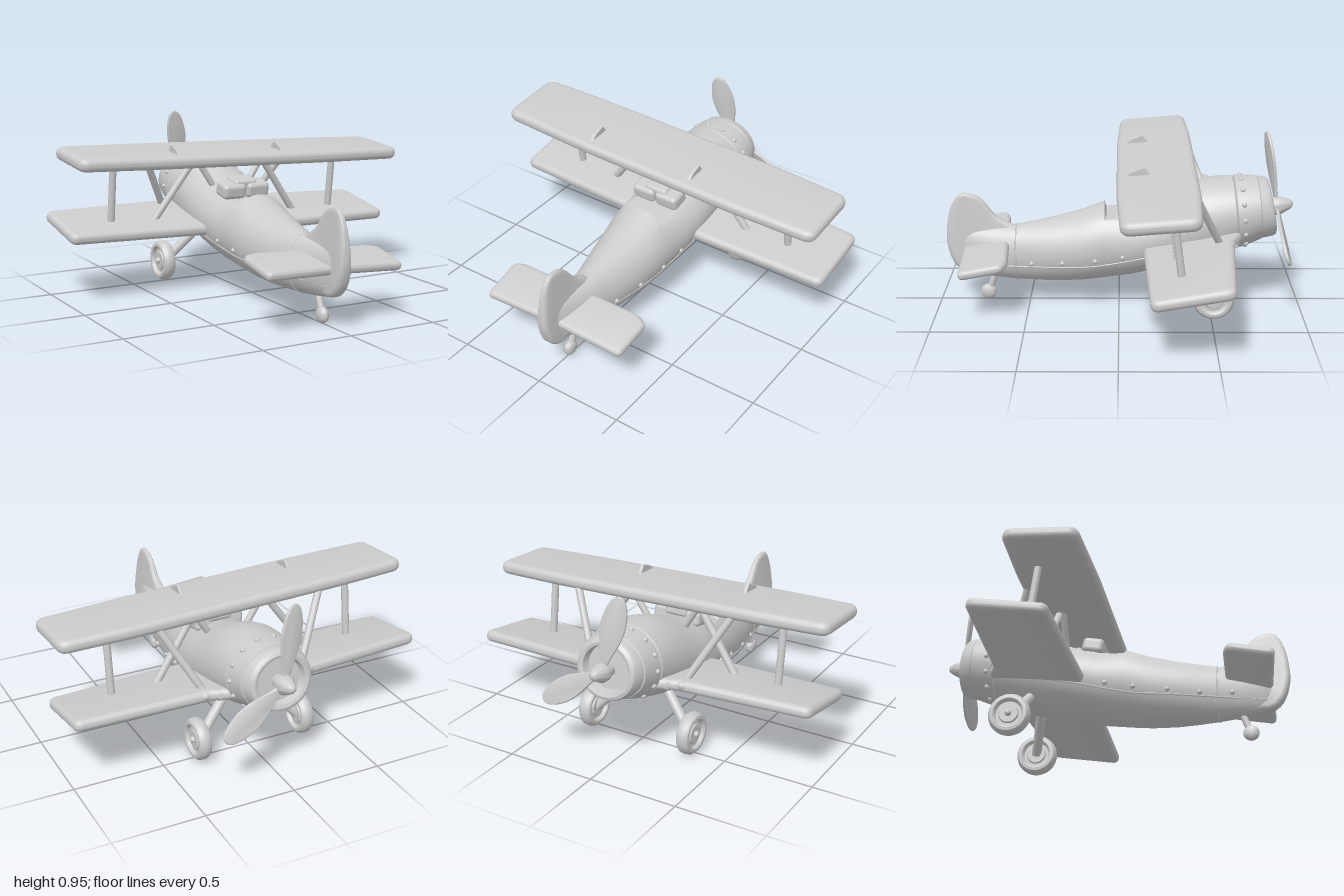
import * as THREE from 'three';
import { toCreasedNormals } from 'three/addons/utils/BufferGeometryUtils.js';
import { RoundedBoxGeometry } from 'three/addons/geometries/RoundedBoxGeometry.js';

const material = new THREE.MeshStandardMaterial({ color: 0xcccccc, roughness: 0.7 });
const V = (x, y, z) => new THREE.Vector3(x, y, z);
const lerp = THREE.MathUtils.lerp;

function add(parent, name, geometry, x = 0, y = 0, z = 0) {
  const mesh = new THREE.Mesh(geometry, material);
  mesh.name = name;
  mesh.position.set(x, y, z);
  parent.add(mesh);
  return mesh;
}

// Fuselage sections, tail to nose: [zTop, yTop, zBottom, yBottom, halfWidth, flat cut height]
const SECTIONS = [
  [0.93, 0.38, 0.9, 0.22, 0.01], [0.89, 0.4, 0.86, 0.175, 0.03], [0.8, 0.42, 0.8, 0.153, 0.055],
  [0.7, 0.43, 0.7, 0.138, 0.08], [0.57, 0.44, 0.57, 0.125, 0.105], [0.45, 0.463, 0.45, 0.12, 0.135],
  [0.34, 0.487, 0.34, 0.118, 0.16], [0.2, 0.525, 0.2, 0.125, 0.183], [0.08, 0.57, 0.08, 0.14, 0.2],
  [0.07, 0.57, 0.07, 0.142, 0.2, 0.51], [-0.07, 0.57, -0.07, 0.163, 0.212, 0.53],
  [-0.08, 0.575, -0.08, 0.165, 0.213], [-0.17, 0.59, -0.17, 0.185, 0.22], [-0.28, 0.632, -0.28, 0.21, 0.224],
  [-0.38, 0.677, -0.38, 0.233, 0.225], [-0.47, 0.707, -0.48, 0.258, 0.223], [-0.55, 0.715, -0.58, 0.29, 0.218],
  [-0.62, 0.715, -0.655, 0.317, 0.211], [-0.625, 0.707, -0.66, 0.327, 0.202], [-0.631, 0.718, -0.666, 0.319, 0.212],
  [-0.7, 0.719, -0.73, 0.345, 0.205], [-0.755, 0.717, -0.785, 0.369, 0.195], [-0.759, 0.709, -0.789, 0.377, 0.187],
  [-0.764, 0.714, -0.794, 0.374, 0.19], [-0.8, 0.712, -0.85, 0.386, 0.178], [-0.812, 0.705, -0.866, 0.395, 0.17],
  [-0.822, 0.69, -0.87, 0.412, 0.153], [-0.82, 0.675, -0.862, 0.428, 0.135], [-0.78, 0.665, -0.82, 0.435, 0.125],
];

function sectionPoint([zt, yt, zb, yb, w, cut = 9], a) {
  const t = (1 - Math.cos(a)) / 2;
  return V(w * Math.sin(a), Math.min(lerp(yt, yb, t), cut), lerp(zt, zb, t));
}

// Point on the hull side at a given z and height
function hullPoint(z, y, side) {
  const zAt = (s) => lerp(s[2], s[0], THREE.MathUtils.clamp((y - s[3]) / (s[1] - s[3]), 0, 1));
  let i = 0;
  while (i < SECTIONS.length - 2 && zAt(SECTIONS[i + 1]) > z) i++;
  const [p, q] = [SECTIONS[i], SECTIONS[i + 1]];
  const t = THREE.MathUtils.clamp((z - zAt(p)) / (zAt(q) - zAt(p)), 0, 1);
  const [yt, yb, w] = [1, 3, 4].map((k) => lerp(p[k], q[k], t));
  const c = (2 * y - yt - yb) / (yt - yb);
  return V(side * w * Math.sqrt(Math.max(0, 1 - c * c)), y, z);
}

function hullGeometry(n = 56) {
  const pos = [], index = [];
  for (const s of SECTIONS) {
    for (let j = 0; j < n; j++) pos.push(...sectionPoint(s, (j / n) * Math.PI * 2).toArray());
  }
  for (let i = 0; i < SECTIONS.length - 1; i++) {
    for (let j = 0; j < n; j++) {
      const k = (j + 1) % n, a = i * n + j, c = i * n + k;
      index.push(a, c, a + n, a + n, c, c + n);
    }
  }
  // end caps
  for (const [row, z, y] of [[0, 0.915, 0.3], [SECTIONS.length - 1, -0.8, 0.55]]) {
    const m = pos.length / 3;
    pos.push(0, y, z);
    for (let j = 0; j < n; j++) {
      const a = row * n + j, c = row * n + ((j + 1) % n);
      index.push(...(row ? [a, c, m] : [c, a, m]));
    }
  }
  const g = new THREE.BufferGeometry();
  g.setAttribute('position', new THREE.Float32BufferAttribute(pos, 3));
  g.setIndex(index);
  return toCreasedNormals(g, 0.6);
}

function bevelled(shape, thickness, bevel) {
  const g = new THREE.ExtrudeGeometry(shape, {
    depth: thickness - 2 * bevel, bevelThickness: bevel, bevelSize: bevel,
    bevelOffset: -bevel, bevelSegments: 4, curveSegments: 8,
  });
  return g.translate(0, 0, bevel - thickness / 2);
}

// Flat panel with rounded corners from plan points [x, z]
function panel(points, thickness, radius) {
  const pts = points.map(([x, z]) => new THREE.Vector2(x, z));
  const shape = new THREE.Shape();
  pts.forEach((p, i) => {
    const toward = (q) => p.clone().add(q.clone().sub(p).setLength(radius));
    const a = toward(pts[(i + pts.length - 1) % pts.length]);
    const b = toward(pts[(i + 1) % pts.length]);
    if (i) shape.lineTo(a.x, a.y); else shape.moveTo(a.x, a.y);
    shape.quadraticCurveTo(p.x, p.y, b.x, b.y);
  });
  return toCreasedNormals(bevelled(shape, thickness, thickness * 0.45).rotateX(Math.PI / 2), 0.7);
}

function rod(parent, name, a, b, r) {
  const mesh = add(parent, name, new THREE.CylinderGeometry(r, r, a.distanceTo(b), 14));
  mesh.position.copy(a).lerp(b, 0.5);
  mesh.quaternion.setFromUnitVectors(V(0, 1, 0), b.clone().sub(a).normalize());
  return mesh;
}

const lathe = (pts, n = 36) =>
  toCreasedNormals(new THREE.LatheGeometry(pts.map(([r, y]) => new THREE.Vector2(r, y)), n), 0.7);

export function createModel() {
  const model = new THREE.Group();
  model.name = 'biplane';
  add(model, 'fuselage', hullGeometry());

  // Wings: slightly pitched up and rolled
  const upper = add(model, 'upperWing', panel(
    [[-1, -0.2], [-0.6, -0.218], [0.6, -0.218], [1, -0.2], [1, 0.195], [0.5, 0.213], [-0.5, 0.213], [-1, 0.195]],
    0.07, 0.06), 0, 0.765, -0.2);
  upper.rotation.set(0.08, 0, -0.032);
  const lower = add(model, 'lowerWing', panel(
    [[-1, -0.2], [-0.27, -0.25], [-0.2, -0.3], [0.2, -0.3], [0.27, -0.25], [1, -0.2], [1, 0.22], [0.2, 0.24], [-0.2, 0.24], [-1, 0.22]],
    0.062, 0.045), 0, 0.385, -0.37);
  lower.rotation.set(0.17, 0, -0.02);
  for (const x of [-0.42, 0.225]) {
    const wedge = new THREE.Shape([[-0.07, 0], [0.07, 0], [0.03, 0.03], [-0.035, 0.05]].map((p) => new THREE.Vector2(...p)));
    add(upper, 'wingFitting', bevelled(wedge, 0.022, 0.004).rotateY(-Math.PI / 2), x, 0.028, 0.1);
  }

  // Struts between the wings, and wing root bumps
  for (const s of [-1, 1]) {
    const roll = (x) => -0.025 * x * s;
    const strut = (name, a, b, r) => rod(model, name,
      V(a[0] * s, a[1] + roll(a[0]), a[2]), V(b[0] * s, b[1] + roll(b[0]), b[2]), r);
    strut('outerStrut', [0.706, 0.39, -0.32], [0.706, 0.76, -0.27], 0.02);
    strut('frontStrut', [0.29, 0.43, -0.54], [0.47, 0.76, -0.39], 0.02);
    strut('crossStrut', [0.46, 0.38, -0.31], [0.2, 0.75, -0.27], 0.02);
    strut('cabaneStrut', [0.11, 0.58, -0.25], [0.22, 0.75, -0.25], 0.018);
    add(model, 'wingRootBump', new THREE.SphereGeometry(0.03, 16, 10), s * 0.3, 0.428 + roll(0.3), -0.6).scale.set(1, 0.7, 0.7);
  }

  // Windscreen blocks in front of the cockpit
  for (const s of [-1, 1]) {
    add(model, 'cockpitCushion', new RoundedBoxGeometry(0.14, 0.085, 0.12, 4, 0.025), s * 0.073, 0.578, -0.1).rotation.x = 0.2;
  }
  add(model, 'windscreen', new RoundedBoxGeometry(0.14, 0.06, 0.11, 4, 0.02), 0, 0.61, -0.11).rotation.x = 0.2;

  // Fin, thinner towards the top
  const finPoints = [[0.57, 0.43], [0.68, 0.49], [0.75, 0.575], [0.81, 0.613], [0.885, 0.612], [0.935, 0.53],
    [0.957, 0.4], [0.95, 0.3], [0.91, 0.205], [0.83, 0.16], [0.7, 0.2], [0.6, 0.34]];
  const finShape = new THREE.Shape();
  finShape.moveTo(...finPoints[0]);
  finShape.splineThru(finPoints.slice(1).map((p) => new THREE.Vector2(...p)));
  finShape.closePath();
  const fin = bevelled(finShape, 0.075, 0.025).rotateY(-Math.PI / 2);
  const fp = fin.attributes.position;
  for (let i = 0; i < fp.count; i++) fp.setX(i, fp.getX(i) * (1 - 0.55 * THREE.MathUtils.smoothstep(fp.getY(i), 0.25, 0.62)));
  add(model, 'fin', toCreasedNormals(fin, 0.7));

  const tail = add(model, 'tailplane', panel(
    [[-0.42, -0.11], [-0.36, -0.135], [0.36, -0.135], [0.425, -0.1], [0.41, 0.135], [0, 0.12], [-0.42, 0.135]],
    0.05, 0.03), 0, 0.322, 0.745);
  tail.rotation.set(0.2, 0.045, -0.065);

  // Propeller with two leaf blades and a spinner
  const propeller = new THREE.Group();
  propeller.name = 'propeller';
  propeller.position.set(0, 0.55, -0.872);
  propeller.rotation.x = 0.15;
  model.add(propeller);
  const leaf = new THREE.Shape();
  leaf.moveTo(-0.018, 0);
  leaf.bezierCurveTo(-0.02, 0.1, -0.07, 0.17, -0.066, 0.27);
  leaf.bezierCurveTo(-0.06, 0.36, -0.035, 0.415, 0, 0.415);
  leaf.bezierCurveTo(0.035, 0.415, 0.06, 0.36, 0.066, 0.27);
  leaf.bezierCurveTo(0.07, 0.17, 0.02, 0.1, 0.018, 0);
  for (const angle of [0.2, -2.15]) {
    const arm = new THREE.Group();
    arm.rotation.z = angle;
    propeller.add(arm);
    add(arm, 'propellerBlade', toCreasedNormals(bevelled(leaf, 0.016, 0.006), 0.7)).rotation.y = 0.22;
  }
  add(propeller, 'spinner', lathe([[0, -0.07], [0.035, -0.07], [0.035, -0.025], [0.05, -0.02], [0.052, 0.01],
    [0.042, 0.035], [0.03, 0.065], [0.018, 0.083], [0, 0.09]]).rotateX(-Math.PI / 2));

  // Landing gear
  const half = [[0.115, 0], [0.112, 0.02], [0.1, 0.034], [0.084, 0.036], [0.073, 0.028], [0.07, 0.018],
    [0.055, 0.018], [0.05, 0.026], [0, 0.026]];
  const wheel = [...half.slice(1).reverse().map(([r, y]) => [r, -y]), ...half];
  for (const s of [-1, 1]) {
    rod(model, 'landingLeg', V(s * 0.11, 0.31, -0.44), V(s * 0.29, 0.12, -0.51), 0.027);
    add(model, 'wheel', lathe(wheel, 40).rotateZ(Math.PI / 2), s * 0.305, 0.12, -0.51);
    add(model, 'wheelCap', new THREE.SphereGeometry(0.018, 14, 10), s * 0.333, 0.12, -0.51);
  }
  rod(model, 'tailWheelLeg', V(0, 0.16, 0.69), V(0, 0.045, 0.735), 0.018);
  add(model, 'tailWheel', lathe([[0, -0.025], [0.024, -0.025], [0.038, -0.016], [0.044, 0], [0.038, 0.016],
    [0.024, 0.025], [0, 0.025]], 24).rotateZ(Math.PI / 2), 0, 0.045, 0.735);

  // Hull seams and rivets
  const seam = [[0.83, 0.215], [0.58, 0.225], [0.3, 0.24], [0.15, 0.25], [0, 0.278], [-0.17, 0.318], [-0.33, 0.357], [-0.48, 0.4], [-0.62, 0.45]];
  const rivet = new THREE.SphereGeometry(0.014, 12, 8);
  for (const s of [-1, 1]) {
    const path = new THREE.CatmullRomCurve3(seam.map(([z, y]) => hullPoint(z, y, s)));
    add(model, 'sideSeam', new THREE.TubeGeometry(path, 60, 0.005, 6));
    for (const [z, y] of [[0.65, 0.25], [0.48, 0.25], [0.31, 0.265], [0.13, 0.285], [-0.02, 0.312]]) {
      add(model, 'sideRivet', rivet).position.copy(hullPoint(z, y, s));
    }
  }
  const ring = Array.from({ length: 32 }, (_, i) => sectionPoint(SECTIONS[4], (i / 32) * Math.PI * 2));
  add(model, 'tailSeam', new THREE.TubeGeometry(new THREE.CatmullRomCurve3(ring, true), 64, 0.004, 6, true));
  for (let i = 0; i < 14; i++) {
    add(model, 'cowlRivet', rivet).position.copy(sectionPoint([-0.665, 0.718, -0.697, 0.332, 0.209], ((i + 0.5) / 14) * Math.PI * 2));
  }
  return model;
}
